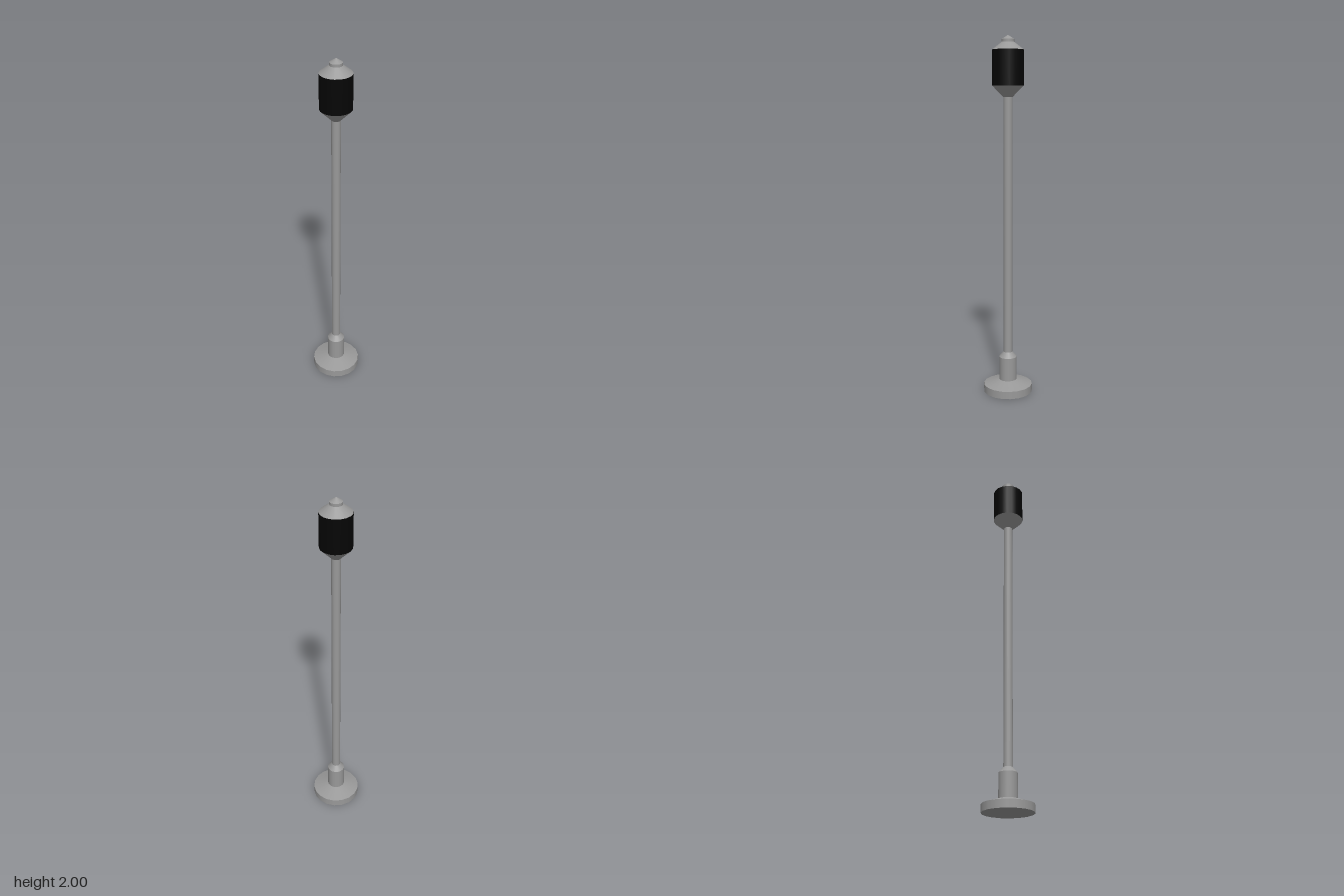
import * as THREE from 'three';
import { mergeGeometries } from 'three/addons/utils/BufferGeometryUtils.js';

const SIDES = 18;

export function createModel() {
  const group = new THREE.Group();
  const grey = new THREE.MeshStandardMaterial({ color: 0x999999 });
  const black = new THREE.MeshStandardMaterial({ color: 0x050505 });

  // Each part is turned from a [radius, height] profile, listed bottom to top.
  // Every band is its own lathe: smooth around, sharp between bands.
  function turned(name, profile, material = grey) {
    const points = profile.map(([r, y]) => new THREE.Vector2(r, y));
    const bands = points.slice(1).map((point, i) =>
      new THREE.LatheGeometry([points[i], point], SIDES, Math.PI / 2));
    const mesh = new THREE.Mesh(mergeGeometries(bands), material);
    mesh.name = name;
    group.add(mesh);
  }

  // Wide foot with a sloping top
  turned('base', [[0, 0], [0.138, 0], [0.138, 0.043], [0.05, 0.07]]);
  // Sleeve around the bottom of the pole
  turned('collar', [[0.05, 0.07], [0.05, 0.204], [0.025, 0.233]]);
  turned('pole', [[0.025, 0.233], [0.025, 1.672]]);
  // Funnel that carries the lamp
  turned('lampHolder', [[0.025, 1.672], [0.086, 1.733]]);
  turned('lamp', [[0.086, 1.733], [0.086, 1.923]], black);
  turned('cap', [[0.086, 1.923], [0.034, 1.963]]);
  turned('finial', [[0.034, 1.963], [0.034, 1.978], [0, 2]]);

  return group;
}
